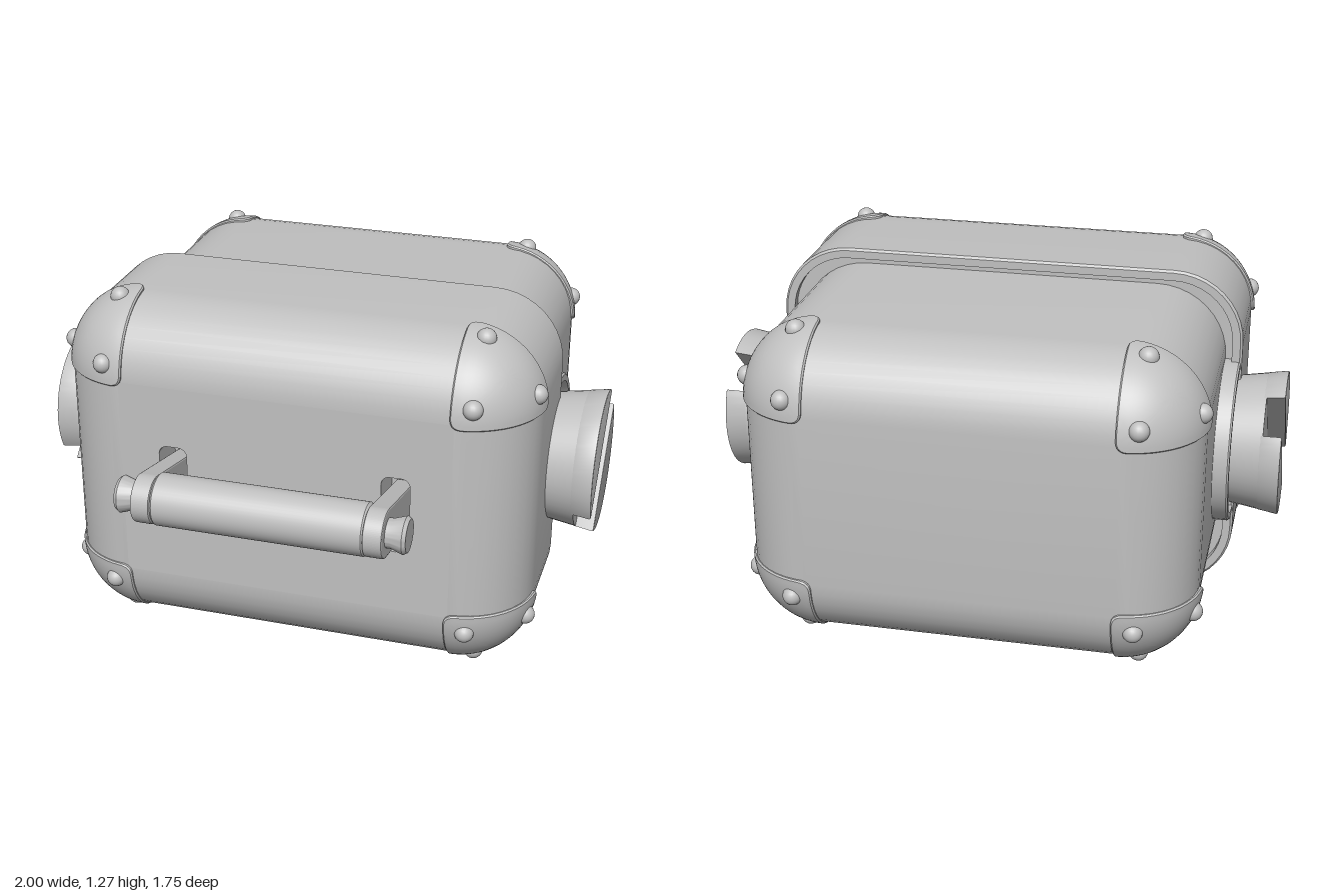
import * as THREE from 'three';
import { toCreasedNormals } from 'three/addons/utils/BufferGeometryUtils.js';

const R = 0.25;   // corner radius of both shells
const N = 10;     // steps per quarter turn
const V = (x, y, z) => new THREE.Vector3(x, y, z);

export function createModel() {
  const model = new THREE.Group();
  const grey = new THREE.MeshStandardMaterial({ color: 0xc0c0c0 });
  grey.name = 'lightGrey';

  function add(parent, name, geometry, x = 0, y = 0, z = 0) {
    const mesh = new THREE.Mesh(geometry, grey);
    mesh.name = name;
    mesh.position.set(x, y, z);
    parent.add(mesh);
    return mesh;
  }

  // Skins a list of closed rings; skip(i, j) leaves a quad open
  function loft(rings, skip = () => false) {
    const n = rings[0].length;
    const index = [];
    for (let i = 0; i < rings.length - 1; i++) {
      for (let j = 0; j < n; j++) {
        if (skip(i, j)) continue;
        const a = i * n + j, b = i * n + (j + 1) % n;
        index.push(a, a + n, b, b, a + n, b + n);
      }
    }
    const g = new THREE.BufferGeometry().setFromPoints(rings.flat());
    g.setIndex(index);
    return toCreasedNormals(g, Math.PI / 6);
  }

  // Rounded rectangle ring, shrunk by inset
  function ring(hw, hh, inset, z) {
    const points = [];
    const r = Math.max(R - inset, 0);
    for (let q = 0; q < 4; q++) {
      const cx = (q === 0 || q === 3 ? 1 : -1) * (hw - R);
      const cy = (q < 2 ? 1 : -1) * (hh - R);
      for (let k = 0; k <= N; k++) {
        const a = (q + k / N) * Math.PI / 2;
        points.push(V(cx + r * Math.cos(a), cy + r * Math.sin(a), z));
      }
    }
    return points;
  }

  // Domed end, from its flat face at z = 0 to the full section at z = -R
  function dome(hw, hh) {
    return Array.from({ length: N + 1 }, (_, k) => {
      const a = k / N * Math.PI / 2;
      return ring(hw, hh, R * (1 - Math.sin(a)), -R * (1 - Math.cos(a)));
    });
  }

  function extrude(shape, depth, bevel = 0) {
    return new THREE.ExtrudeGeometry(shape, {
      depth: depth - 2 * bevel, curveSegments: 24, bevelEnabled: bevel > 0,
      bevelSize: bevel, bevelThickness: bevel, bevelOffset: -bevel, bevelSegments: 2,
    }).translate(0, 0, bevel);
  }

  // Rounded rectangular opening
  function opening(cx, cy, hw, hh, r) {
    const path = new THREE.Path();
    [[1, 1], [-1, 1], [-1, -1], [1, -1]].forEach(([sx, sy], q) => path.absarc(
      cx + sx * (hw - r), cy + sy * (hh - r), r, q * Math.PI / 2, (q + 1) * Math.PI / 2));
    path.closePath();
    return path;
  }

  // Slot outline between two points
  function slot(x1, y1, x2, y2, r) {
    const a = Math.atan2(y2 - y1, x2 - x1), h = Math.PI / 2;
    const path = new THREE.Path();
    path.absarc(x2, y2, r, a - h, a + h);
    path.absarc(x1, y1, r, a + h, a + 3 * h);
    path.closePath();
    return path;
  }

  // Front shell with a stepped rim: open at the handle face and along the flat underside
  const frontShell = new THREE.Group();
  frontShell.name = 'frontShell';
  model.add(frontShell);
  const rim = [[0, -0.607], [0.008, -0.615], [0.036, -0.615], [0.036, -0.585], [0.11, -0.585]]
    .map(([inset, z]) => ring(0.835, 0.615, inset, z));
  add(frontShell, 'frontShellSkin', loft([...dome(0.835, 0.615), ...rim],
    (i, j) => i >= N && j === 3 * (N + 1) - 1), 0, 0.635, 0.565);

  // Handle face with two openings for the arms
  const face = new THREE.Shape([[-0.585, 0.27], [0.585, 0.27], [0.585, 1], [-0.585, 1]]
    .map(p => new THREE.Vector2(...p)));
  for (const s of [-1, 1]) face.holes.push(opening(s * 0.395, 0.64, 0.05, 0.14, 0.03));
  add(frontShell, 'handleFace', extrude(face, 0.145), 0, 0, 0.42);

  // Underside with a round tab reaching back, and recesses cut through it
  const base = new THREE.Shape();
  base.moveTo(-0.585, 0.315);
  base.lineTo(-0.585, -0.05);
  base.lineTo(-0.37, -0.05);
  base.absarc(0, 0.08, 0.39, Math.PI + 0.338, 2 * Math.PI - 0.338);
  base.lineTo(0.37, -0.05);
  base.lineTo(0.585, -0.05);
  base.lineTo(0.585, 0.315);
  base.closePath();
  for (const s of [-1, 1]) {
    base.holes.push(new THREE.Path().absarc(s * 0.195, 0.08, 0.13, 0, 2 * Math.PI));
    base.holes.push(slot(s * 0.055, 0.215, s * 0.1, 0.26, 0.03));
  }
  base.holes.push(new THREE.Path([[-0.06, -0.07], [0, 0.04], [0.06, -0.07]]
    .map(p => new THREE.Vector2(...p))));
  add(frontShell, 'undersideTab', extrude(base, 0.06).rotateX(Math.PI / 2), 0, 0.08, 0);

  // Rear body, running forward inside the front shell
  const rearDome = dome(0.775, 0.555);
  const centre = z => rearDome[0].map(() => V(0, 0, z));
  add(model, 'rearBody', loft([centre(0), ...rearDome, ring(0.775, 0.555, 0, -1.275), centre(-1.275)]),
    0, 0.635, -0.855).rotation.y = Math.PI;

  // Corner guard: rounded triangle swelling over one octant of the corner
  const axes = [V(1, 0, 0), V(0, 1, 0), V(0, 0, 1)];
  const outline = [];
  axes.forEach((e, i) => {
    const next = axes[(i + 1) % 3], prev = axes[(i + 2) % 3];
    const p = e.clone().lerp(prev, 0.14), q = e.clone().lerp(next, 0.14);
    outline.push(...new THREE.QuadraticBezierCurve3(p, e, q).getPoints(8));
    const end = next.clone().lerp(e, 0.14);
    for (let k = 1; k < 12; k++) outline.push(q.clone().lerp(end, k / 12));
  });
  const middle = V(1 / 3, 1 / 3, 1 / 3);
  const reach = (c, r) => c - 0.013 * (1 - c / r);   // carries the edge past the octant
  const guardRing = (t, r) => outline.map(o => {
    const p = middle.clone().lerp(o, t).setLength(r);
    return V(reach(p.x, r), reach(p.y, r), reach(p.z, r));
  });
  const guardRings = Array.from({ length: 9 }, (_, k) => guardRing(k / 8 * 0.97, R + 0.013));
  guardRings.push(guardRing(1.01, R + 0.008), guardRing(1.01, R - 0.02));
  const guardGeometry = loft(guardRings);
  const rivetGeometry = new THREE.SphereGeometry(0.034, 20, 14);

  for (let k = 0; k < 4; k++) {
    const front = k === 0 || k === 3;
    const x = (k < 2 ? 1 : -1) * (front ? 0.585 : 0.525);
    for (const top of [true, false]) {
      const corner = new THREE.Group();
      corner.name = 'cornerGuard';
      const rise = front ? 0.365 : 0.305;
      corner.position.set(x, 0.635 + (top ? rise : -rise), front ? 0.315 : -0.605);
      corner.rotation.set(top ? 0 : Math.PI / 2, k * Math.PI / 2, 0, 'YXZ');
      add(corner, 'guardPlate', guardGeometry);
      for (const e of axes) {
        const p = V(0.23, 0.23, 0.23).addScaledVector(e, 0.715).setLength(R - 0.001);
        add(corner, 'rivet', rivetGeometry, p.x, p.y, p.z);
      }
      model.add(corner);
    }
  }

  // Side knobs: flared drum with a diagonal slot, in a recessed round collar
  const lathe = points => toCreasedNormals(new THREE.LatheGeometry(
    points.map(p => new THREE.Vector2(...p)), 48), Math.PI / 6);
  const collarGeometry = lathe([[0, 0.6], [0.295, 0.6], [0.295, 0.825], [0.289, 0.831],
    [0.267, 0.831], [0.267, 0.8], [0, 0.8]]).rotateX(Math.PI / 2);
  const drumGeometry = lathe([[0, 0.7], [0.208, 0.7], [0.245, 0.935], [0, 0.935]])
    .rotateX(Math.PI / 2);
  const half = Math.acos(0.07 / 0.244);
  const lobe = new THREE.Shape().absarc(0, 0, 0.244, -half, half);
  lobe.closePath();
  const lobeGeometry = extrude(lobe, 0.076, 0.006);
  const spots = lobeGeometry.attributes.position;
  for (let i = 0; i < spots.count; i++) {   // flare the lobes outward
    const flare = 1 + 0.65 * spots.getZ(i);
    spots.setXY(i, spots.getX(i) * flare, spots.getY(i) * flare);
  }
  const flaredLobe = toCreasedNormals(lobeGeometry, Math.PI / 6);
  for (const s of [-1, 1]) {
    const knob = new THREE.Group();
    knob.name = 'sideKnob';
    knob.position.set(0, 0.635, -0.045);
    knob.rotation.y = s * Math.PI / 2;
    add(knob, 'knobCollar', collarGeometry);
    add(knob, 'knobDrum', drumGeometry);
    for (const turn of [0, Math.PI]) {
      add(knob, 'knobLobe', flaredLobe, 0, 0, 0.924).rotation.z =
        Math.PI / 2 + s * Math.PI / 4 + turn;
    }
    model.add(knob);
  }

  // Carrying handle
  const handle = new THREE.Group();
  handle.name = 'handle';
  model.add(handle);
  add(handle, 'grip', lathe([[0, -0.37], [0.08, -0.37], [0.09, -0.358], [0.09, 0.358],
    [0.08, 0.37], [0, 0.37]]).rotateZ(Math.PI / 2), 0, 0.697, 0.777);
  const arm = new THREE.Shape();
  arm.moveTo(0.43, 0.55);
  arm.lineTo(0.8, 0.616);
  arm.absarc(0.79, 0.7, 0.084, -1.4, 1.75);
  arm.lineTo(0.43, 0.705);
  arm.closePath();
  const armGeometry = extrude(arm, 0.065, 0.006).rotateY(-Math.PI / 2);
  const stubGeometry = lathe([[0, 0.41], [0.05, 0.41], [0.05, 0.445], [0.064, 0.488],
    [0.056, 0.5], [0, 0.5]]).rotateZ(-Math.PI / 2);
  for (const s of [-1, 1]) {
    add(handle, 'handleArm', armGeometry, s * 0.397 + 0.0325, 0, 0);
    add(handle, 'handleStub', stubGeometry, 0, 0.7, 0.785).rotation.y = s > 0 ? 0 : Math.PI;
  }
  return model;
}
